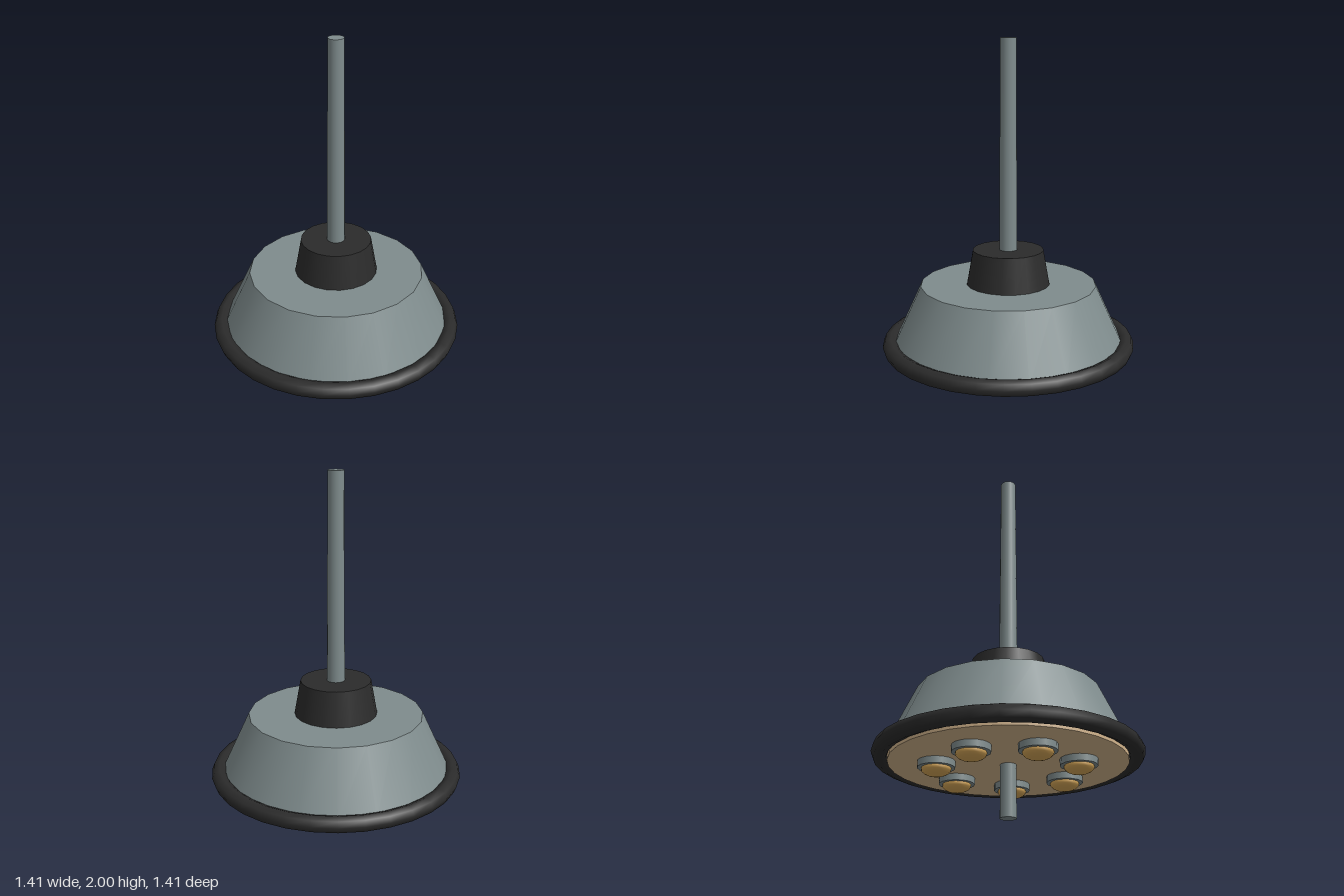
import * as THREE from 'three';

const paint = (name, color) => {
  const m = new THREE.MeshStandardMaterial({ color });
  m.name = name;
  return m;
};

export function createModel() {
  const grey = paint('steelGrey', 0x7f8c8d);
  const black = paint('rubberBlack', 0x2b2b2b);
  const tan = paint('tanPlate', 0xd2b48c);
  const gold = paint('goldDome', 0xd4a557);

  const model = new THREE.Group();
  model.name = 'domedDisc';

  const add = (parent, name, geometry, material, x = 0, y = 0, z = 0) => {
    const mesh = new THREE.Mesh(geometry, material);
    mesh.name = name;
    mesh.position.set(x, y, z);
    parent.add(mesh);
    return mesh;
  };

  // Upright tapered cylinder standing between two heights
  const drum = (parent, name, material, rTop, rBottom, y0, y1, sides, x = 0, z = 0) =>
    add(parent, name, new THREE.CylinderGeometry(rTop, rBottom, y1 - y0, sides), material, x, (y0 + y1) / 2, z);

  // Central rod: slim taper above, thinner stub below
  drum(model, 'upperRod', grey, 0.043, 0.05, 0.8, 2, 16);
  drum(model, 'lowerRod', grey, 0.041, 0.043, 0, 0.8, 16);

  // Body, collar and underside
  drum(model, 'collar', black, 0.196, 0.233, 0.65, 0.855, 20);
  drum(model, 'body', grey, 0.487, 0.646, 0.32, 0.662, 20);
  drum(model, 'bottomPlate', tan, 0.62, 0.62, 0.278, 0.33, 32);

  // Rubber bumper around the rim
  const bumper = add(model, 'bumper', new THREE.TorusGeometry(0.659, 0.045, 8, 32), black, 0, 0.322, 0);
  bumper.rotation.x = Math.PI / 2;

  // Ring of seven lamps under the plate
  const lamps = new THREE.Group();
  lamps.name = 'lamps';
  model.add(lamps);
  for (let i = 0; i < 7; i++) {
    const a = (i / 7) * Math.PI * 2;
    const x = 0.37 * Math.cos(a), z = 0.37 * Math.sin(a);
    drum(lamps, 'lampBase', grey, 0.097, 0.097, 0.243, 0.29, 16, x, z);
    const dome = add(lamps, 'lampDome', new THREE.SphereGeometry(0.078, 16, 10), gold, x, 0.237, z);
    dome.scale.y = 0.47;
  }
  return model;
}
